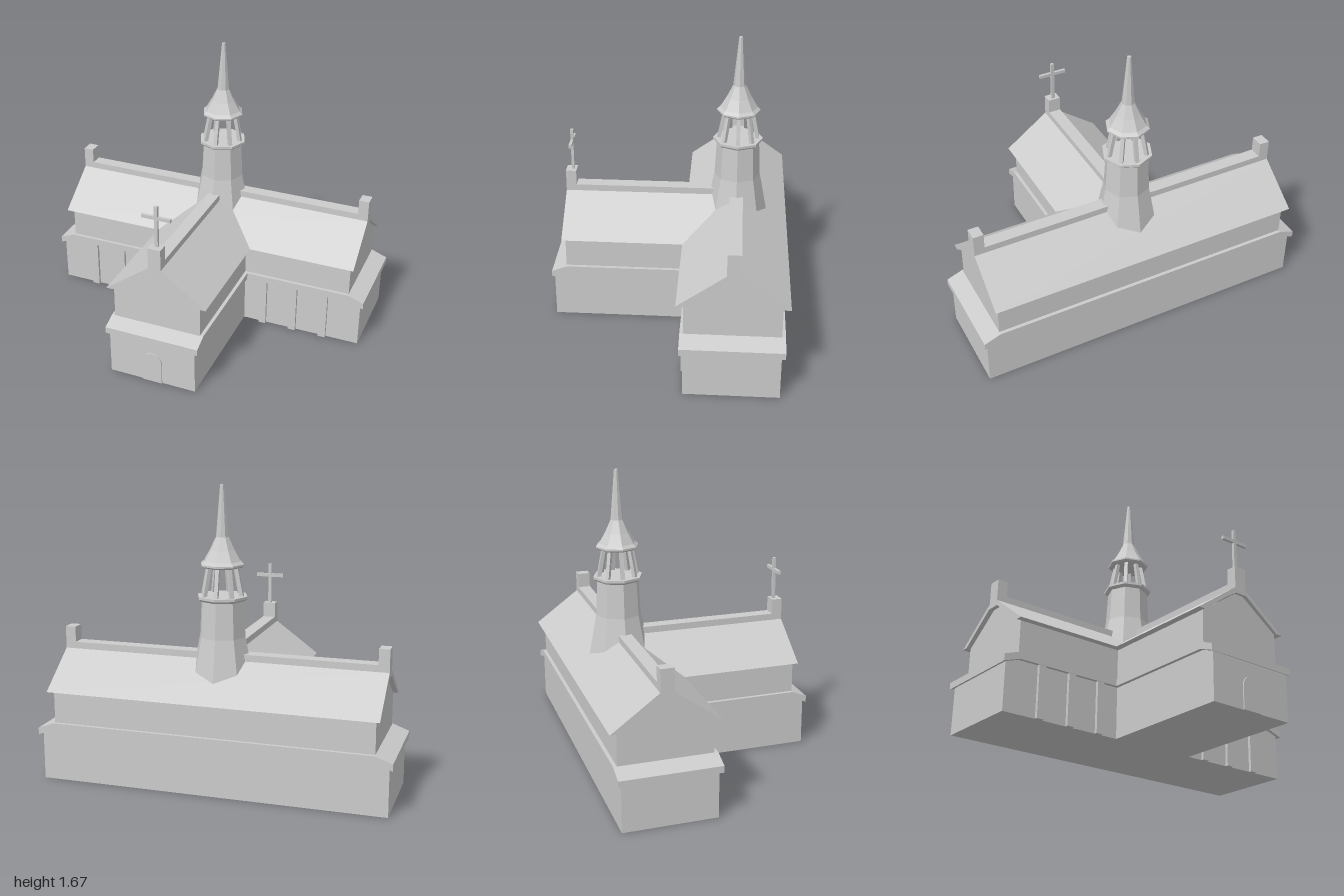
import * as THREE from 'three';

const material = new THREE.MeshStandardMaterial({ color: 0xcccccc, flatShading: true, side: THREE.DoubleSide });
const WING_Z = -0.38;

function add(parent, name, geometry) {
  const mesh = new THREE.Mesh(geometry, material);
  mesh.name = name;
  parent.add(mesh);
  return mesh;
}

// Box given by its minimum and maximum on each axis
function box(parent, name, [x0, x1], [y0, y1], [z0, z1]) {
  const g = new THREE.BoxGeometry(x1 - x0, y1 - y0, z1 - z0);
  g.translate((x0 + x1) / 2, (y0 + y1) / 2, (z0 + z1) / 2);
  return add(parent, name, g);
}

// Profile in x and y, extruded from z0 to z1
function prism(points, z0, z1) {
  const shape = new THREE.Shape(points.map(([x, y]) => new THREE.Vector2(x, y)));
  return new THREE.ExtrudeGeometry(shape, { depth: z1 - z0, bevelEnabled: false }).translate(0, 0, z0);
}

// Eight-sided turned part with corners on the axes
function octagon(parent, name, profile) {
  return add(parent, name, new THREE.LatheGeometry(profile.map(([r, y]) => new THREE.Vector2(r, y)), 8));
}

const gableProfile = [[-0.26, 0.25], [0.26, 0.25], [0.26, 0.52], [0, 0.7], [-0.26, 0.52]];
const roofProfile = [
  [0.3, 0.52], [0.0375, 0.712], [-0.0375, 0.712], [-0.3, 0.52],
  [-0.26, 0.52], [-0.035, 0.685], [0.035, 0.685], [0.26, 0.52],
];

export function createModel() {
  const church = new THREE.Group();
  church.name = 'church';

  // Cross wing, running along x
  const wing = new THREE.Group();
  wing.name = 'crossWing';
  church.add(wing);
  const alongX = (g) => g.rotateY(Math.PI / 2).translate(0, 0, WING_Z);
  box(wing, 'wingLowerWalls', [-0.98, 0.98], [0, 0.29], [-0.64, -0.12]);
  add(wing, 'wingUpperWalls', alongX(prism(gableProfile, -0.905, 0.905)));
  add(wing, 'wingRoof', alongX(prism(roofProfile, -0.93, 0.93)));
  box(wing, 'wingRidge', [-0.93, 0.93], [0.68, 0.75], [-0.4175, -0.3425]);
  add(wing, 'wingCornice', prism([
    [-1, 0.262], [-0.905, 0.295], [0.905, 0.295], [1, 0.262],
    [1, 0.3], [0.905, 0.335], [-0.905, 0.335], [-1, 0.3],
  ], -0.66, -0.1));
  for (const s of [-1, 1]) {
    const x = s * 0.9;
    box(wing, 'wingRidgePost', [x - 0.03, x + 0.03], [0.7, 0.838], [-0.4175, -0.3425]);
    for (const p of [0.382, 0.572, 0.762]) {
      box(wing, 'pilaster', [s * p - 0.022, s * p + 0.022], [0, 0.296], [-0.13, -0.102]);
    }
  }

  // Nave, running toward the front
  const nave = new THREE.Group();
  nave.name = 'nave';
  church.add(nave);
  box(nave, 'naveLowerWalls', [-0.26, 0.26], [0, 0.29], [-0.12, 0.67]);
  add(nave, 'naveUpperWalls', prism(gableProfile, WING_Z, 0.598));
  add(nave, 'naveRoof', prism(roofProfile, WING_Z, 0.615));
  box(nave, 'naveRidge', [-0.0375, 0.0375], [0.68, 0.75], [WING_Z, 0.615]);
  box(nave, 'naveRidgePost', [-0.0375, 0.0375], [0.7, 0.838], [0.555, 0.615]);
  add(nave, 'naveCornice', prism([
    [-0.1, 0.295], [0.595, 0.295], [0.683, 0.262],
    [0.683, 0.3], [0.595, 0.335], [-0.1, 0.335],
  ], -0.28, 0.28).rotateY(-Math.PI / 2));

  // Arched door
  const arch = new THREE.Shape();
  arch.moveTo(-0.06, 0).lineTo(0.06, 0).lineTo(0.06, 0.13);
  arch.absarc(0, 0.13, 0.06, 0, Math.PI, false);
  add(nave, 'door', new THREE.ExtrudeGeometry(arch, { depth: 0.012, bevelEnabled: false, curveSegments: 6 })
    .translate(0, 0, 0.665));

  // Gable cross
  box(nave, 'crossUpright', [-0.01, 0.01], [0.83, 1.085], [0.568, 0.584]);
  box(nave, 'crossArm', [-0.085, 0.085], [1.004, 1.024], [0.568, 0.584]);

  // Octagonal bell tower over the crossing
  const tower = new THREE.Group();
  tower.name = 'bellTower';
  tower.position.z = WING_Z;
  church.add(tower);
  octagon(tower, 'towerShaft', [[0, 0.5], [0.197, 0.5], [0.131, 0.84], [0.12, 1.05], [0, 1.05]]);
  octagon(tower, 'towerCollar', [[0, 1.04], [0.128, 1.04], [0.142, 1.052], [0.142, 1.066], [0, 1.066]]);
  octagon(tower, 'spire', [
    [0, 1.222], [0.112, 1.222], [0.123, 1.23], [0.123, 1.24], [0.105, 1.255],
    [0.07, 1.315], [0.036, 1.385], [0.011, 1.666], [0, 1.666],
  ]);

  // Leaning belfry columns at the eight corners
  for (let i = 0; i < 8; i++) {
    const pivot = new THREE.Group();
    pivot.name = 'belfryColumn';
    pivot.rotation.y = (i * Math.PI) / 4;
    tower.add(pivot);
    const post = add(pivot, 'columnShaft', new THREE.BoxGeometry(0.021, 0.18, 0.021));
    post.position.set(0, 1.145, 0.094);
    post.rotation.x = -0.19;
  }
  return church;
}
